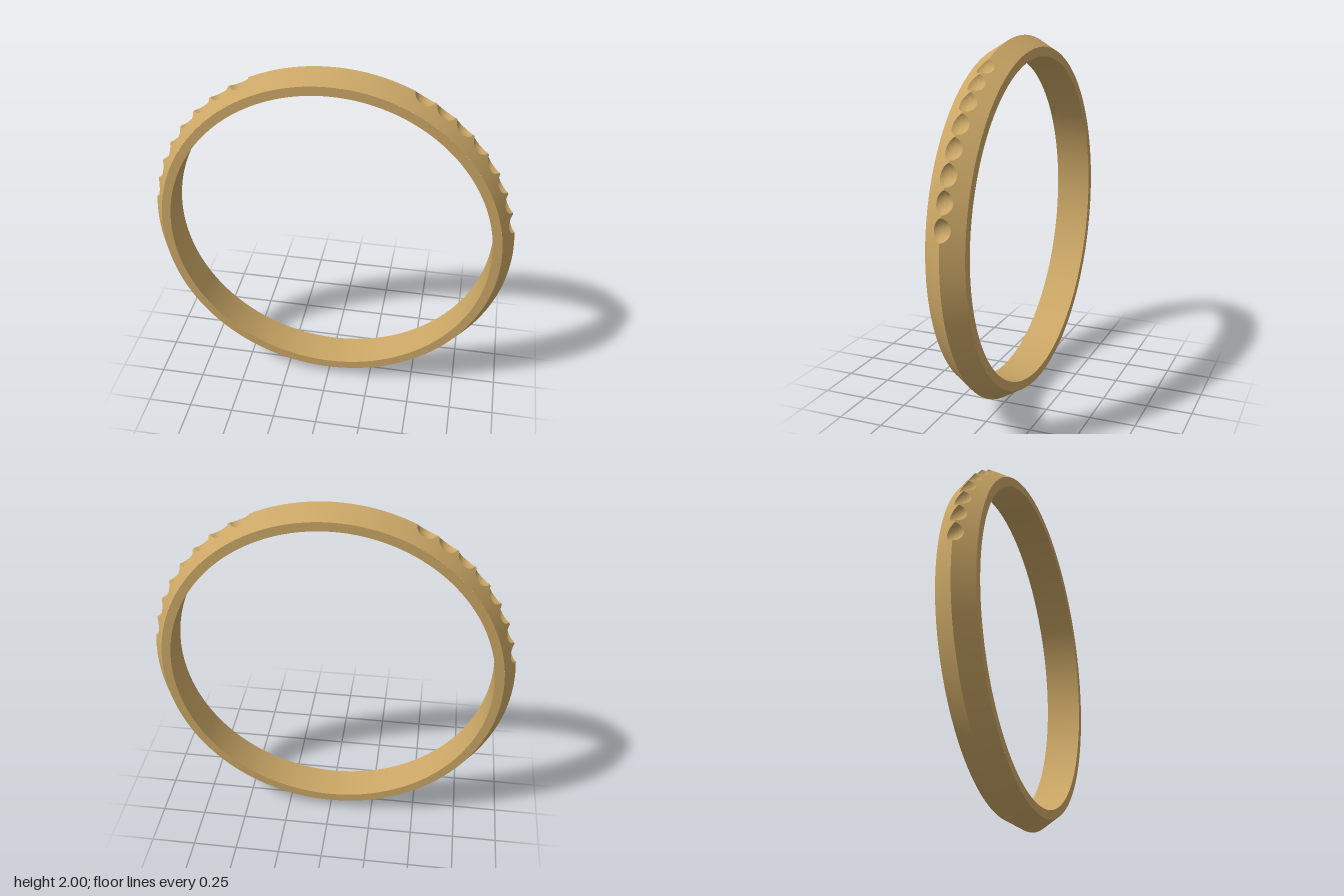
import * as THREE from 'three';
import { toCreasedNormals } from 'three/addons/utils/BufferGeometryUtils.js';

const HALF_W = 0.103, INNER = 0.89, EDGE = 0.94, RIDGE = 1;   // band section
const CUT_R = 0.062, CUT_D = 1.02;                            // ball cutter radius and distance from centre
const COUNT = 8, PITCH = THREE.MathUtils.degToRad(7.33), FIRST = THREE.MathUtils.degToRad(10.4);
const START = FIRST - PITCH / 2, END = START + COUNT * PITCH;

const polar = (a, r, z) => [r * Math.cos(a), r * Math.sin(a) + 1, z];
const slopeRadius = (z) => RIDGE - (RIDGE - EDGE) * Math.abs(z) / HALF_W;
const cutRadius = (a, z) =>
  CUT_D * Math.cos(a) - Math.sqrt(CUT_R ** 2 - z * z - (CUT_D * Math.sin(a)) ** 2);

// Mesh from rows of points; neighbouring rows are joined by quads
function gridMesh(name, grids, material) {
  const pos = [];
  for (const rows of grids)
    for (let i = 0; i + 1 < rows.length; i++)
      for (let j = 0; j + 1 < rows[i].length; j++) {
        const a = rows[i][j], b = rows[i + 1][j], c = rows[i + 1][j + 1], d = rows[i][j + 1];
        if (a !== d) pos.push(...a, ...c, ...d);
        pos.push(...a, ...b, ...c);
      }
  const g = new THREE.BufferGeometry();
  g.setAttribute('position', new THREE.Float32BufferAttribute(pos, 3));
  const mesh = new THREE.Mesh(toCreasedNormals(g, 0.5), material);
  mesh.name = name;
  return mesh;
}

// Sweep a [radius, z] profile around the ring axis
function sweep(profile, a0, a1, steps) {
  return Array.from({ length: steps + 1 }, (_, i) =>
    profile.map(([r, z]) => polar(a0 + (a1 - a0) * i / steps, r, z)));
}

// One cell of the outer face: a round scoop blended out to the cell border
function scoopCell(angle) {
  const h = PITCH / 2, corners = [[h, -HALF_W], [h, HALF_W], [-h, HALF_W], [-h, -HALF_W]];
  const border = [];
  corners.forEach((c, k) => {
    const n = corners[(k + 1) % 4];
    for (let i = 0; i < 16; i++) border.push([c[0] + (n[0] - c[0]) * i / 16, c[1] + (n[1] - c[1]) * i / 16]);
  });
  border.push(border[0]);

  // Scoop rim along each ray, found by bisection
  const rim = border.map(([a, z]) => {
    let lo = 0, hi = 1;
    for (let i = 0; i < 30; i++) {
      const s = (lo + hi) / 2;
      if (cutRadius(a * s, z * s) < slopeRadius(z * s)) lo = s; else hi = s;
    }
    return lo;
  });

  const RINGS = 8, centre = polar(angle, CUT_D - CUT_R, 0), bowl = [border.map(() => centre)], around = [];
  for (let k = 1; k <= RINGS; k++) {
    const f = Math.sin(k / RINGS * Math.PI / 2);              // closer rings where the bowl is steep
    bowl.push(border.map(([a, z], j) => {
      const s = rim[j] * f;
      const r = k === RINGS ? slopeRadius(z * s) : cutRadius(a * s, z * s);
      return polar(angle + a * s, r, z * s);
    }));
  }
  for (let k = 0; k <= 3; k++)
    around.push(border.map(([a, z], j) => {
      const s = rim[j] + (1 - rim[j]) * k / 3;
      return polar(angle + a * s, slopeRadius(z * s), z * s);
    }));
  return [bowl, around];
}

export function createModel() {
  const group = new THREE.Group();
  group.name = 'ring';
  const gold = new THREE.MeshStandardMaterial({ color: 0xcba766 });

  // Bore and the two narrow flat sides
  const inside = [[EDGE, HALF_W], [INNER, HALF_W], [INNER, -HALF_W], [EDGE, -HALF_W]];
  group.add(gridMesh('boreAndSides', [sweep(inside, 0, Math.PI * 2, 240)], gold));

  // Plain ridged outer face, above and below the scoops
  const ridge = [[EDGE, -HALF_W], [RIDGE, 0], [EDGE, HALF_W]];
  group.add(gridMesh('topRidge', [sweep(ridge, END, Math.PI - END, 40)], gold));
  group.add(gridMesh('lowerRidge', [sweep(ridge, Math.PI - START, Math.PI * 2 + START, 130)], gold));

  // A row of scoops on each shoulder
  for (const [name, side] of [['leftScoops', 1], ['rightScoops', -1]]) {
    const cells = [];
    for (let i = 0; i < COUNT; i++) {
      const a = FIRST + i * PITCH;
      cells.push(...scoopCell(side > 0 ? a : Math.PI - a));
    }
    group.add(gridMesh(name, cells, gold));
  }
  return group;
}
